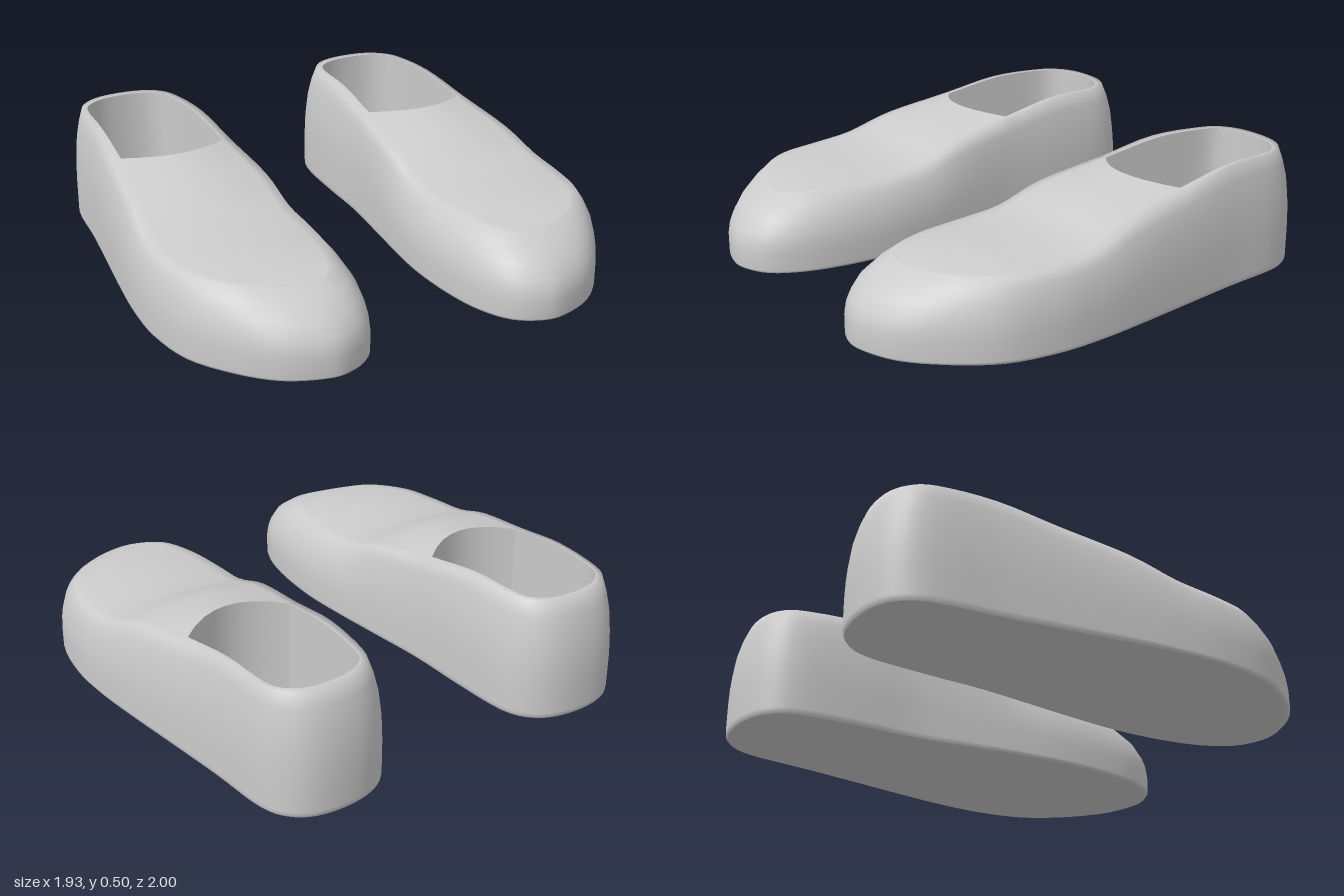
import * as THREE from 'three';
import { mergeGeometries, mergeVertices, toCreasedNormals } from 'three/addons/utils/BufferGeometryUtils.js';

// Stations from heel to toe:
// [base z, base inner x, base outer x, shoulder z, shoulder inner x, shoulder outer x, shoulder y]
const STATIONS = [
  [-0.993, 0.50, 0.66, -0.93, 0.51, 0.65, 0.50],
  [-0.94, 0.38, 0.77, -0.885, 0.41, 0.745, 0.50],
  [-0.82, 0.31, 0.835, -0.79, 0.36, 0.80, 0.50],
  [-0.55, 0.288, 0.865, -0.55, 0.335, 0.82, 0.50],
  [-0.29, 0.28, 0.90, -0.29, 0.315, 0.85, 0.452],
  [0.00, 0.245, 0.94, 0.00, 0.29, 0.885, 0.40],
  [0.20, 0.22, 0.96, 0.20, 0.285, 0.91, 0.335],
  [0.40, 0.205, 0.962, 0.38, 0.28, 0.91, 0.315],
  [0.62, 0.215, 0.92, 0.56, 0.30, 0.87, 0.312],
  [0.80, 0.25, 0.81, 0.70, 0.345, 0.76, 0.31],
  [0.93, 0.32, 0.68, 0.77, 0.40, 0.62, 0.302],
  [0.992, 0.43, 0.53, 0.79, 0.45, 0.53, 0.30],
];
// Foot opening beside the first stations: [z, inner x, outer x]
const OPENING = [[-0.897, 0.52, 0.645], [-0.86, 0.43, 0.73], [-0.78, 0.388, 0.777], [-0.55, 0.37, 0.795]];
// Wall profile: [blend from base to shoulder, fraction of the height]
const PROFILE = [[0.14, 0], [0.03, 0.02], [0, 0.05], [0, 0.3], [0.04, 0.44], [0.12, 0.56], [0.3, 0.73], [0.62, 0.88], [1, 1]];
const STEPS = 4;
const FRONT = OPENING.length; // station at the front corners of the opening
const FLOOR_Y = 0.06;

const V = (x, y, z) => new THREE.Vector3(x, y, z);

// Surface through rows of points
function loft(rows, closed = false) {
  const n = rows[0].length, index = [];
  for (let r = 0; r < rows.length - 1; r++) {
    for (let i = 0; i < (closed ? n : n - 1); i++) {
      const j = (i + 1) % n, a = r * n + i, b = r * n + j;
      index.push(a, b, b + n, a, b + n, a + n);
    }
  }
  const geometry = new THREE.BufferGeometry().setFromPoints(rows.flat());
  geometry.setIndex(index);
  return geometry;
}

// Closed ring: up the inner side to the toe, back along the outer side
function ring(inner, outer) {
  const curve = new THREE.CatmullRomCurve3([...inner, ...outer.reverse()], true, 'catmullrom');
  const points = curve.getPoints(curve.points.length * STEPS);
  points.pop();
  return points;
}

function shoeGeometries() {
  const base = ring(STATIONS.map(s => V(s[1], 0, s[0])), STATIONS.map(s => V(s[2], 0, s[0])));
  const shoulder = ring(STATIONS.map(s => V(s[4], s[6], s[3])), STATIONS.map(s => V(s[5], s[6], s[3])));
  const count = base.length;

  // Side walls with a small bevel at the sole
  const wallRows = PROFILE.map(([mix, h]) => base.map((b, i) => {
    const p = b.clone().lerp(shoulder[i], mix);
    p.y = shoulder[i].y * h;
    return p;
  }));

  // Vamp: crowned rows across the foot, the first one bowed along the opening
  const us = [0, 0.075, 0.18, 0.3, 0.4, 0.5, 0.6, 0.7, 0.82, 0.925, 1];
  const vampRows = [];
  for (let m = FRONT * STEPS; m <= count / 2 - STEPS / 2; m++) {
    const a = shoulder[m], b = shoulder[count - STEPS - m];
    const fade = Math.max(0, 1 - (a.z + 0.29) / 0.5);
    const crown = 0.024 * THREE.MathUtils.clamp((0.78 - a.z) / 0.25, 0, 1);
    vampRows.push(us.map(u => {
      const p = a.clone().lerp(b, u), t = 2 * u - 1;
      p.y += crown * (1 - t * t);
      p.z += 0.1 * fade * Math.max(0, 1 - (t / 0.85) ** 2);
      return p;
    }));
  }
  const frontEdge = vampRows[0].slice(1, -1);

  // Narrow rim around the heel part of the opening
  const start = count - STEPS - FRONT * STEPS;
  const rearCount = (2 * FRONT + 1) * STEPS;
  const rearShoulder = Array.from({ length: rearCount + 1 }, (_, i) => shoulder[(start + i) % count]);
  const rearEdge = new THREE.CatmullRomCurve3([
    frontEdge.at(-1),
    ...OPENING.map(([z, , x]) => V(x, 0.5, z)).reverse(),
    ...OPENING.map(([z, x]) => V(x, 0.5, z)),
    frontEdge[0],
  ], false, 'catmullrom').getPoints(rearCount);

  // Foot cavity
  const edge = [...rearEdge, ...frontEdge.slice(1, -1)];
  const floor = edge.map(p => V(p.x, FLOOR_Y, p.z));

  const upper = mergeVertices(mergeGeometries([
    loft(wallRows, true), loft(vampRows.reverse()), loft([rearShoulder, rearEdge]),
  ]), 1e-4);
  const lining = toCreasedNormals(loft([edge, floor], true), 0.6);
  const insole = loft([floor, floor.map(() => V(0.585, FLOOR_Y, -0.5))], true);
  const sole = loft([wallRows[0].map(() => V(0.585, 0, 0)), wallRows[0]], true);
  for (const g of [upper, insole, sole]) g.computeVertexNormals();
  return { upper, lining, insole, sole };
}

// Mirror a geometry across x, turning its faces back outward
function mirrored(geometry) {
  const g = geometry.index ? geometry.clone() : mergeVertices(geometry);
  g.scale(-1, 1, 1);
  const ids = g.index.array;
  for (let i = 0; i < ids.length; i += 3) [ids[i + 1], ids[i + 2]] = [ids[i + 2], ids[i + 1]];
  return g;
}

export function createModel() {
  const model = new THREE.Group();
  model.name = 'shoes';
  const material = new THREE.MeshStandardMaterial({ color: 0xcccccc });
  const parts = shoeGeometries();
  for (const side of ['left', 'right']) {
    const shoe = new THREE.Group();
    shoe.name = side + 'Shoe';
    for (const [name, geometry] of Object.entries(parts)) {
      const mesh = new THREE.Mesh(side === 'left' ? geometry : mirrored(geometry), material);
      mesh.name = name;
      shoe.add(mesh);
    }
    model.add(shoe);
  }
  return model;
}
